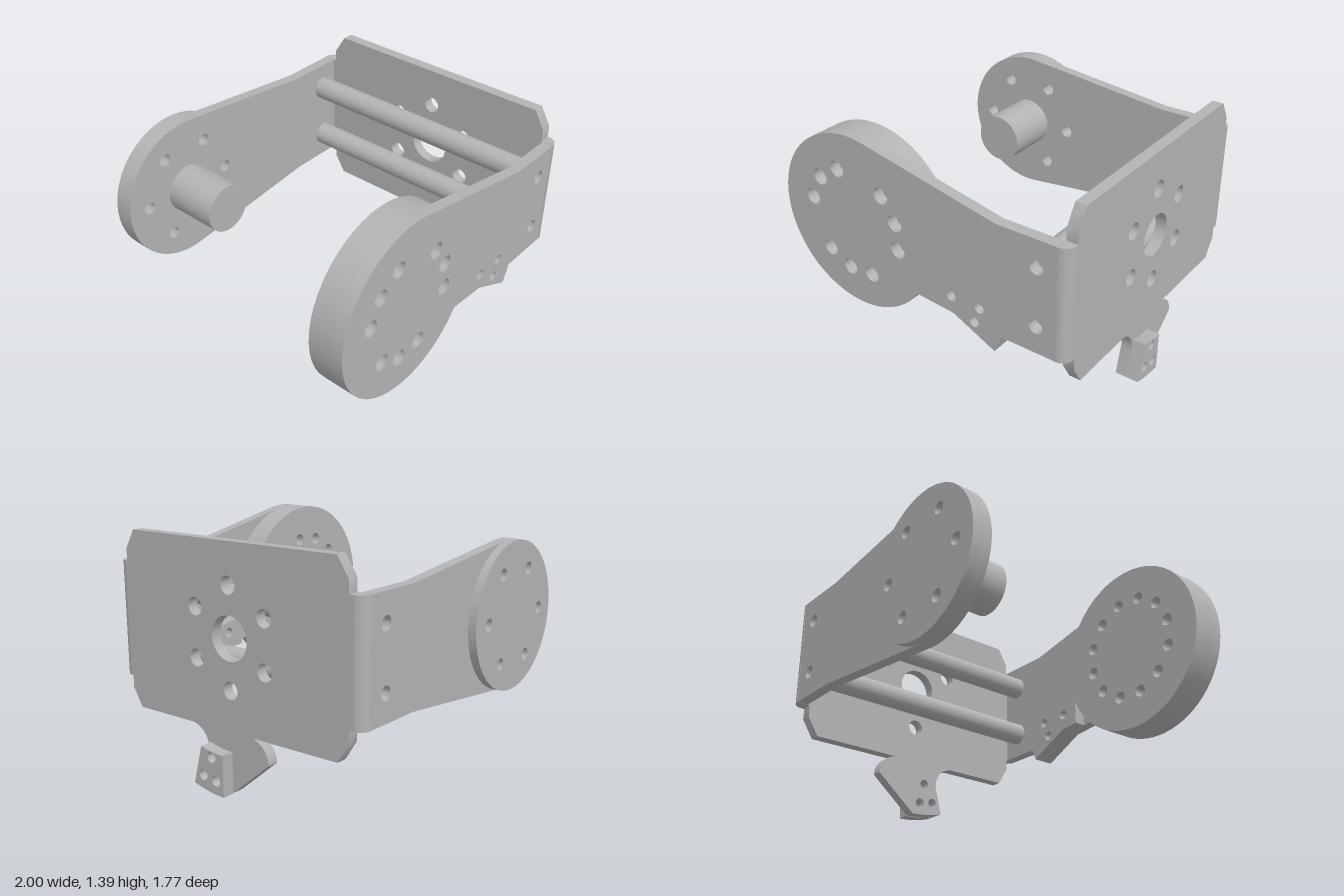
import * as THREE from 'three';
import { toCreasedNormals } from 'three/addons/utils/BufferGeometryUtils.js';

const RAD = Math.PI / 180;
const CX = -0.475, CY = 0.866;           // hub axis
const RODS = [[0.74, 1.04], [0.74, 0.69]];

// ring of points round a centre, angles in degrees
const ring = (cx, cy, r, angles) =>
  angles.map(a => [cx + r * Math.cos(a * RAD), cy + r * Math.sin(a * RAD)]);
const steps = (start, step, n) => Array.from({ length: n }, (_, i) => start + i * step);

function drill(shape, points, r) {
  for (const [x, y] of points) {
    const hole = new THREE.Path();
    hole.absarc(x, y, r, 0, Math.PI * 2, true);
    shape.holes.push(hole);
  }
}

function polygon(points) {
  return new THREE.Shape(points.map(p => new THREE.Vector2(...p)));
}

function disc(r) {
  const s = new THREE.Shape();
  s.absarc(CX, CY, r, 0, Math.PI * 2);
  return s;
}

function slab(shape, depth) {
  return new THREE.ExtrudeGeometry(shape, { depth, bevelEnabled: false, curveSegments: 24 });
}

export function createModel() {
  const group = new THREE.Group();
  const metal = new THREE.MeshStandardMaterial({ color: 0xb3b3b3 });
  metal.name = 'plain grey metal';

  function add(name, geometry) {
    const mesh = new THREE.Mesh(toCreasedNormals(geometry, 0.6), metal);
    mesh.name = name;
    group.add(mesh);
    return mesh;
  }
  // slab lying in the xy plane between two depths
  const addXY = (name, shape, z0, z1) => add(name, slab(shape, z1 - z0).translate(0, 0, z0));
  // slab drawn in (z, y) between two x positions
  const addZY = (name, shape, x0, x1) =>
    add(name, slab(shape, x1 - x0).rotateY(-Math.PI / 2).translate(x1, 0, 0));

  // front arm with its lower tab
  const tabHoles = [[0.2, 0.653], [0.385, 0.65], [0.35, 0.55]];
  const front = new THREE.Shape();
  front.absarc(CX, CY, 0.525, 78 * RAD, 325.8 * RAD);
  [[0.21, 0.55], [0.48, 0.42], [0.525, 0.53], [0.855, 0.53], [0.855, 1.2], [0.5, 1.2]]
    .forEach(p => front.lineTo(...p));
  front.closePath();
  const armAngles = steps(18, 30, 12).filter(a => ![78, 198, 318].includes(a));
  drill(front, ring(CX, CY, 0.318, armAngles), 0.048);
  drill(front, RODS, 0.04);
  drill(front, tabHoles, 0.03);
  addXY('frontArm', front, 0.817, 0.883);

  // thick front hub with twelve holes
  const frontHub = disc(0.525);
  drill(frontHub, ring(CX, CY, 0.318, steps(18, 30, 12)), 0.037);
  addXY('frontHub', frontHub, 0.67, 0.817);

  // stop block behind the front arm's tab
  const stop = polygon([[0.085, 0.74], [0.085, 0.562], [0.21, 0.55], [0.48, 0.42], [0.565, 0.65]]);
  drill(stop, tabHoles, 0.03);
  addXY('armStopBlock', stop, 0.745, 0.817);

  // rear arm, hub and pivot pin
  const hubHoles = ring(CX, CY, 0.3, steps(0, 60, 6));
  const rear = new THREE.Shape();
  rear.absarc(CX, CY, 0.44, 84 * RAD, 276 * RAD);
  [[0.5, 0.53], [0.855, 0.53], [0.855, 1.2], [0.5, 1.2]].forEach(p => rear.lineTo(...p));
  rear.closePath();
  drill(rear, hubHoles, 0.037);
  drill(rear, RODS, 0.04);
  addXY('rearArm', rear, -0.84, -0.773);

  const rearHub = disc(0.44);
  drill(rearHub, hubHoles, 0.037);
  addXY('rearHub', rearHub, -0.89, -0.84);

  const pin = new THREE.CylinderGeometry(0.148, 0.148, 0.34, 48);
  add('pivotPin', pin.rotateX(Math.PI / 2).translate(CX, CY, -0.603));

  // spacer rods with blind bores at both ends
  const z0 = -0.773, z1 = 0.817, bore = 0.12;
  const profile = [[0, z0 + bore], [0.03, z0 + bore], [0.03, z0], [0.07, z0],
    [0.07, z1], [0.03, z1], [0.03, z1 - bore], [0, z1 - bore]].map(p => new THREE.Vector2(...p));
  for (const [x, y] of RODS) {
    const rod = new THREE.LatheGeometry(profile, 36);
    add('spacerRod', rod.rotateX(Math.PI / 2).translate(x, y, 0));
  }

  // side web with clipped corners, fold notches and a lower neck
  const web = new THREE.Shape();
  web.moveTo(0.745, 1.38);
  [[-0.685, 1.38], [-0.755, 1.27], [-0.755, 1.2], [-0.773, 1.2], [-0.773, 0.53],
    [-0.755, 0.53], [-0.755, 0.46], [-0.685, 0.35], [-0.1, 0.35]].forEach(p => web.lineTo(...p));
  web.absarc(-0.1, 0.22, 0.13, 90 * RAD, 180 * RAD);
  web.lineTo(0.03, 0.003);
  web.quadraticCurveTo(0.14, 0.003, 0.25, 0.035);
  web.lineTo(0.205, 0.21);
  web.absarc(0.075 + 0.26, 0.22, 0.13, 180 * RAD, 90 * RAD, true);
  [[0.745, 0.35], [0.81, 0.46], [0.81, 0.53], [0.817, 0.53], [0.817, 1.2],
    [0.81, 1.2], [0.81, 1.27]].forEach(p => web.lineTo(...p));
  web.closePath();
  const wedgeHoles = [[0.115, 0.21], [0.18, 0.095], [0.085, 0.08]];
  drill(web, [[0.03, 0.866]], 0.125);
  drill(web, ring(0.03, 0.866, 0.284, steps(30, 60, 6)), 0.05);
  drill(web, wedgeHoles, 0.03);
  addZY('sideWeb', web, 0.858, 0.925);

  // wedge block on the neck
  const wedge = new THREE.Shape();
  wedge.moveTo(0.19, 0.26);
  wedge.quadraticCurveTo(0.11, 0.238, 0.03, 0.238);
  wedge.lineTo(0.03, 0);
  wedge.quadraticCurveTo(0.14, 0, 0.25, 0.035);
  wedge.closePath();
  drill(wedge, wedgeHoles, 0.03);
  addZY('neckWedge', wedge, 0.925, 1);

  // rounded folds joining the web to both arms
  for (const [name, z, side] of [['frontFold', 0.817, 1], ['rearFold', -0.773, -1]]) {
    const fold = new THREE.Shape();
    const a = -side * 90 * RAD;
    fold.absarc(0, 0, 0.068, Math.min(0, a), Math.max(0, a));
    fold.absarc(0, 0, 0.003, Math.max(0, a), Math.min(0, a), true);
    fold.closePath();
    // shape y becomes -z, depth becomes height
    add(name, slab(fold, 0.67).rotateX(-Math.PI / 2).translate(0.857, 0.53, z));
  }
  return group;
}
